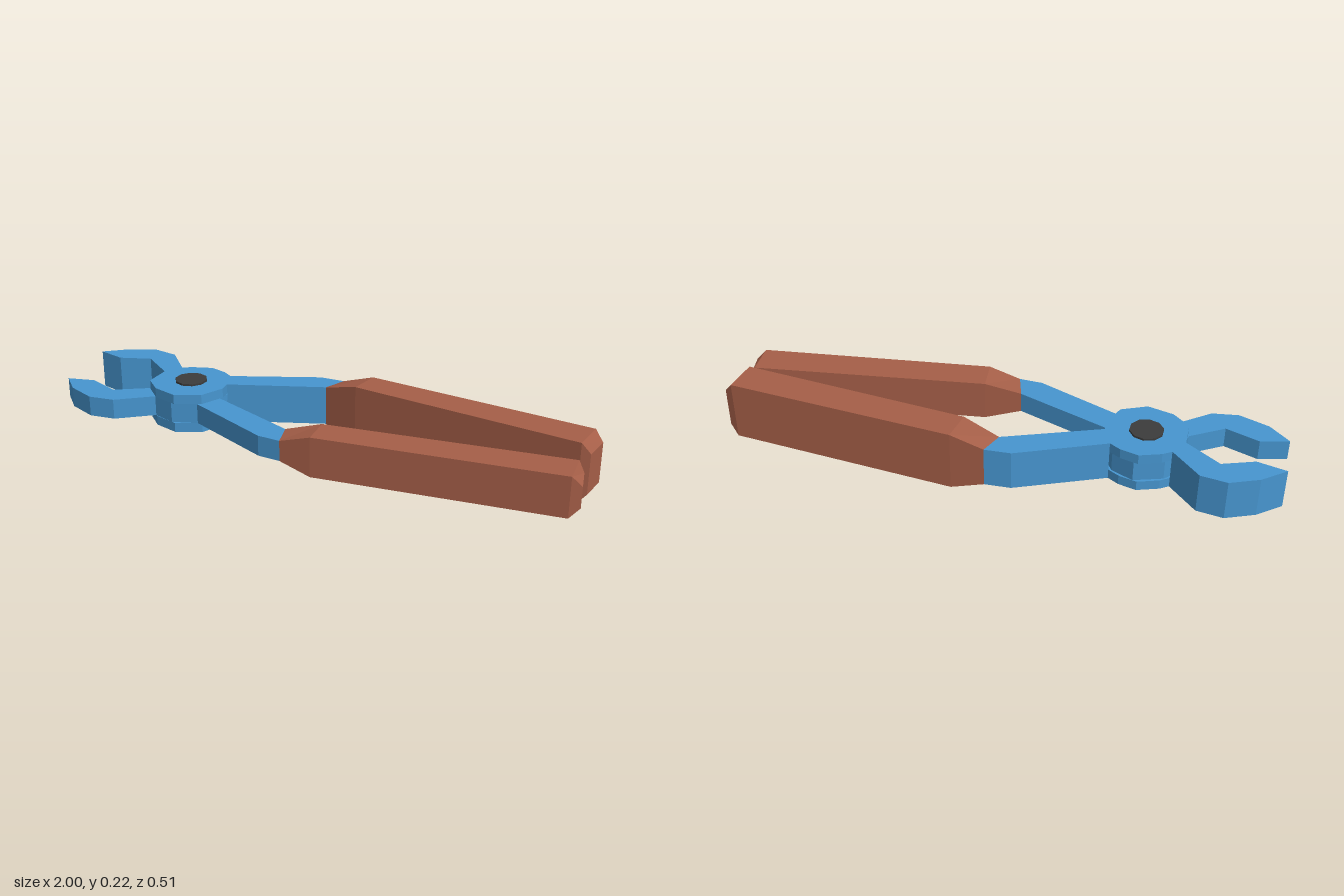
import * as THREE from 'three';

const MID = 0.1115; // height of the pliers' mid plane

const steelBlue = new THREE.MeshStandardMaterial({ color: 0x4796d0 });
steelBlue.name = 'blue steel';
const gripBrown = new THREE.MeshStandardMaterial({ color: 0xa65f48 });
gripBrown.name = 'brown grip';
const rivetDark = new THREE.MeshStandardMaterial({ color: 0x3c3c3c });
rivetDark.name = 'dark rivet';

// Flat plate from an [x, z] outline, between heights y0 and y1
function plate(name, outline, y0, y1) {
  const shape = new THREE.Shape(outline.map(([x, z]) => new THREE.Vector2(x, -z)));
  const geo = new THREE.ExtrudeGeometry(shape, { depth: y1 - y0, bevelEnabled: false });
  geo.rotateX(-Math.PI / 2).translate(0, y0, 0);
  const mesh = new THREE.Mesh(geo, steelBlue);
  mesh.name = name;
  return mesh;
}

// Grip lofted through stations: [x, z] on the -z side, [x, z] on the +z side, half height
function grip(name, stations) {
  const n = stations.length - 1;
  const box = new THREE.BoxGeometry(1, 1, 1, n, 1, 1);
  const p = box.attributes.position;
  for (let i = 0; i < p.count; i++) {
    const [back, front, half] = stations[Math.round((p.getX(i) + 0.5) * n)];
    const side = p.getZ(i) > 0 ? front : back;
    p.setXYZ(i, side[0], MID + Math.sign(p.getY(i)) * half, side[1]);
  }
  const geo = box.toNonIndexed();
  geo.computeVertexNormals();
  const mesh = new THREE.Mesh(geo, gripBrown);
  mesh.name = name;
  return mesh;
}

export function createModel() {
  const group = new THREE.Group();
  group.name = 'pliers';
  const THIN = 0.0375, THICK = 0.073;

  // Back half: thick jaw and arm, forked around the pivot
  const backJawOuter = [[-1, -0.1], [-0.92, -0.17], [-0.82, -0.216], [-0.725, -0.202], [-0.62, -0.096]];
  const backJawInner = [[-0.657, -0.032], [-0.783, -0.12], [-0.895, -0.075]];
  const backArm = [[-0.41, -0.106], [-0.104, -0.251], [-0.01, -0.256], [-0.04, -0.171], [-0.377, -0.027]];
  const backOutline = [
    ...backJawOuter, [-0.59, -0.118], [-0.515, -0.147], [-0.45, -0.13],
    ...backArm, [-0.37, 0.015], [-0.405, 0.105], [-0.495, 0.15], [-0.59, 0.125], [-0.652, 0.07],
    ...backJawInner,
  ];
  const backHalf = new THREE.Group();
  backHalf.name = 'backHalf';
  backHalf.add(
    plate('upperForkPlate', backOutline, MID + THIN, MID + THICK),
    plate('lowerForkPlate', backOutline, MID - THICK, MID - THIN),
    plate('backJawCore', [...backJawOuter, ...backJawInner], MID - THIN, MID + THIN),
    plate('backArmCore', backArm, MID - THIN, MID + THIN),
    grip('backGrip', [
      [[-0.01, -0.256], [-0.04, -0.171], THICK],
      [[0.11, -0.256], [0.094, -0.139], 0.11],
      [[0.955, -0.175], [0.945, -0.043], 0.11],
      [[0.987, -0.16], [0.976, -0.052], THICK],
    ]),
  );

  // Front half: thin jaw, hub and arm lying between the fork plates
  const frontOutline = [
    [-0.995, 0.123], [-0.92, 0.193], [-0.81, 0.235], [-0.714, 0.22], [-0.597, 0.12],
    [-0.51, 0.146], [-0.42, 0.112], [-0.085, 0.25], [0, 0.254], [-0.03, 0.158],
    [-0.377, 0.027], [-0.372, -0.02], [-0.42, -0.105], [-0.5, -0.142], [-0.6, -0.105],
    [-0.65, -0.05], [-0.655, 0.058], [-0.773, 0.139], [-0.895, 0.094],
  ];
  const frontHalf = new THREE.Group();
  frontHalf.name = 'frontHalf';
  frontHalf.add(
    plate('frontJawHubAndArm', frontOutline, MID - THIN, MID + THIN),
    grip('frontGrip', [
      [[-0.03, 0.158], [0, 0.254], THIN],
      [[0.1, 0.133], [0.115, 0.252], THICK],
      [[0.955, 0.008], [0.968, 0.136], THICK],
      [[0.977, 0.018], [1, 0.118], THIN],
    ]),
  );

  // Rivet through the pivot, slightly proud on both faces
  const rivetGeo = new THREE.CylinderGeometry(0.06, 0.06, 0.161, 10).toNonIndexed();
  rivetGeo.computeVertexNormals();
  const rivet = new THREE.Mesh(rivetGeo, rivetDark);
  rivet.name = 'pivotRivet';
  rivet.position.set(-0.516, MID, 0);

  group.add(backHalf, frontHalf, rivet);
  return group;
}
